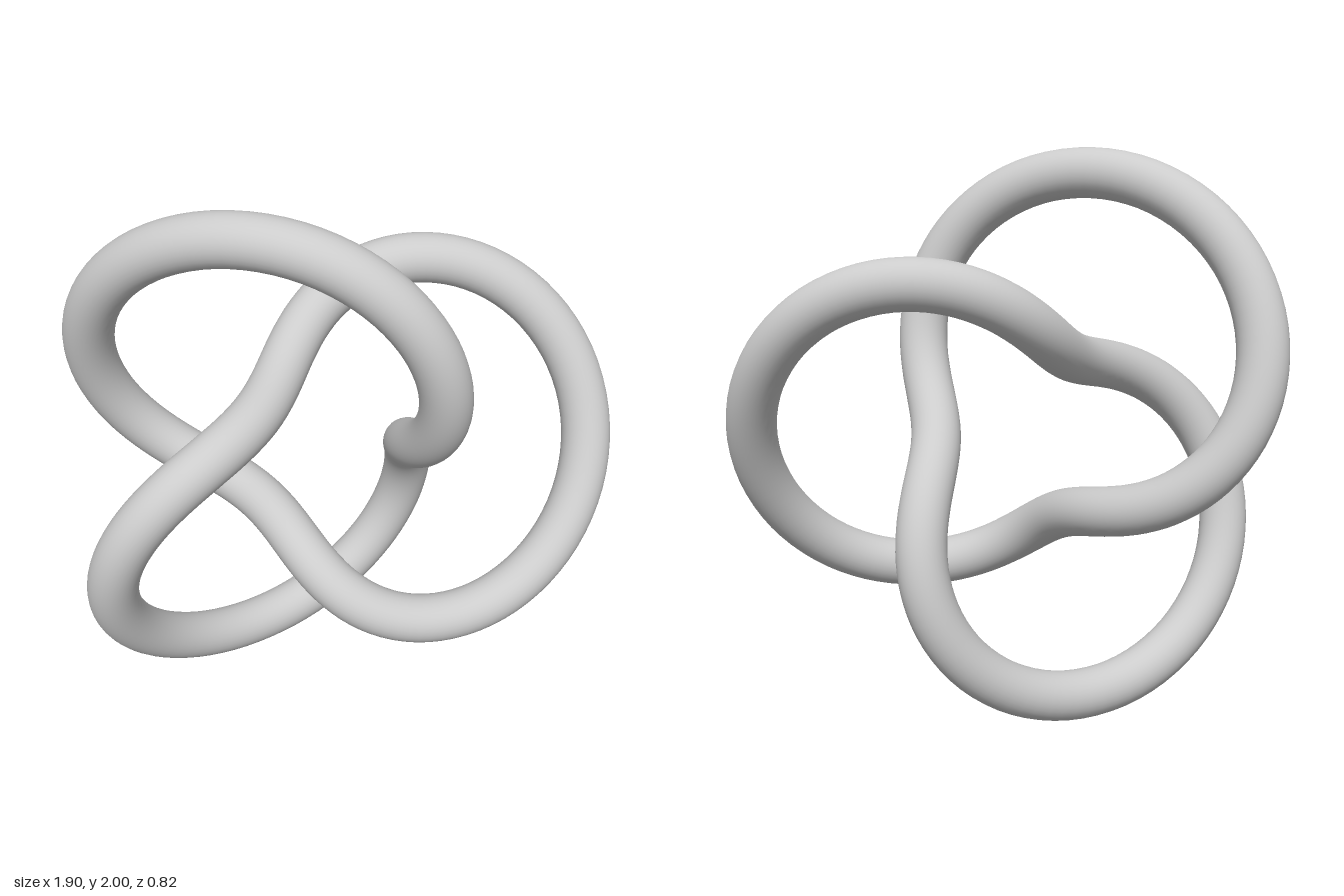
import * as THREE from 'three';

const RADIUS = 0.645; // knot size; the centre line runs from 0.5 to 1.5 times this
const TUBE = 0.0875;  // tube thickness (radius)

export function createModel() {
  const group = new THREE.Group();
  group.name = 'trefoilKnot';

  // Closed three-lobed knot; the negative winding sets its handedness
  const geometry = new THREE.TorusKnotGeometry(RADIUS, TUBE, 256, 32, 2, -3);
  const material = new THREE.MeshStandardMaterial({ color: 0xcccccc });
  const knot = new THREE.Mesh(geometry, material);
  knot.name = 'knotTube';

  // Stand it on the ground and centre its bounds
  geometry.computeBoundingBox();
  const { min, max } = geometry.boundingBox;
  knot.position.set(-(min.x + max.x) / 2, -min.y, -(min.z + max.z) / 2);

  group.add(knot);
  return group;
}
